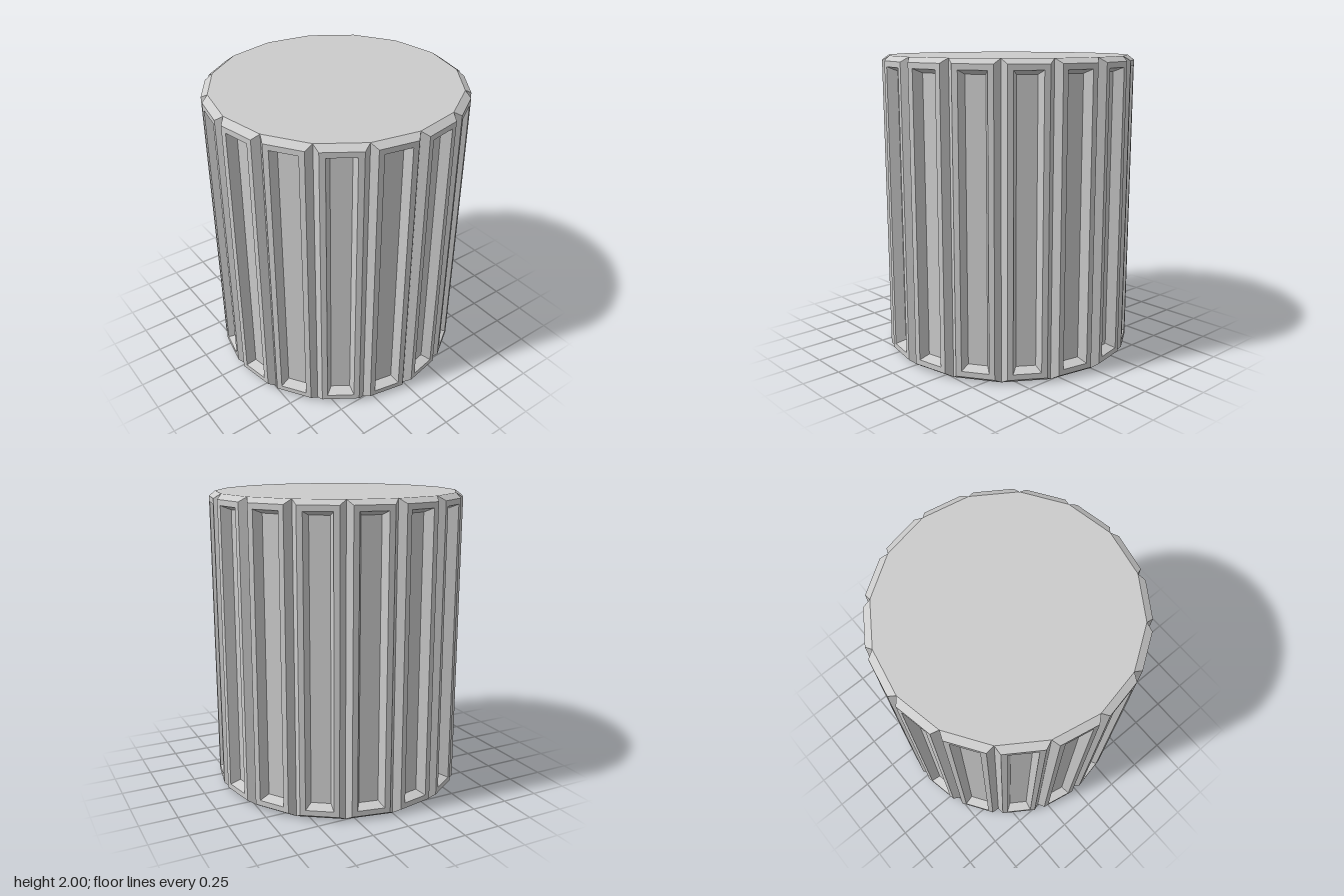
import * as THREE from 'three';

const SIDES = 16, RADIUS = 0.805, HEIGHT = 2;
const HALF_ANGLE = Math.PI / SIDES;
const APOTHEM = RADIUS * Math.cos(HALF_ANGLE);
const HALF_WIDTH = RADIUS * Math.sin(HALF_ANGLE);

// One side panel facing +z: nested rectangles stepping out to a raised frame, then into a recess
function panelGeometry() {
  const steps = [
    { inset: 0, z: APOTHEM },              // edge of the drum
    { inset: 0.031, z: APOTHEM + 0.046 },  // outer edge of the frame
    { inset: 0.067, z: APOTHEM + 0.046 },  // inner edge of the frame
    { inset: 0.0935, z: APOTHEM - 0.016 }, // recess floor
  ];
  const rings = steps.map(({ inset, z }) => {
    const w = HALF_WIDTH - inset, top = HEIGHT - inset;
    return [[-w, inset, z], [w, inset, z], [w, top, z], [-w, top, z]];
  });
  const pos = [];
  const quad = (a, b, c, d) => pos.push(...a, ...b, ...c, ...a, ...c, ...d);
  for (let i = 0; i < rings.length - 1; i++) {
    const outer = rings[i], inner = rings[i + 1];
    for (let k = 0; k < 4; k++) {
      const n = (k + 1) % 4;
      quad(outer[k], outer[n], inner[n], inner[k]);
    }
  }
  quad(...rings[rings.length - 1]);
  const geo = new THREE.BufferGeometry();
  geo.setAttribute('position', new THREE.Float32BufferAttribute(pos, 3));
  geo.computeVertexNormals();
  return geo;
}

export function createModel() {
  const model = new THREE.Group();
  model.name = 'panelledDrum';
  const material = new THREE.MeshStandardMaterial({ color: 0xcccccc, flatShading: true });

  // Ring of recessed side panels
  const panel = panelGeometry();
  const panels = new THREE.Group();
  panels.name = 'sidePanels';
  for (let i = 0; i < SIDES; i++) {
    const mesh = new THREE.Mesh(panel, material);
    mesh.name = 'sidePanel';
    mesh.rotation.y = (2 * i + 1) * HALF_ANGLE;
    panels.add(mesh);
  }
  model.add(panels);

  // Flat end caps
  const cap = new THREE.CircleGeometry(RADIUS, SIDES);
  for (const [name, y, tilt] of [['topCap', HEIGHT, -1], ['bottomCap', 0, 1]]) {
    const mesh = new THREE.Mesh(cap, material);
    mesh.name = name;
    mesh.position.y = y;
    mesh.rotation.x = tilt * Math.PI / 2;
    model.add(mesh);
  }
  return model;
}
